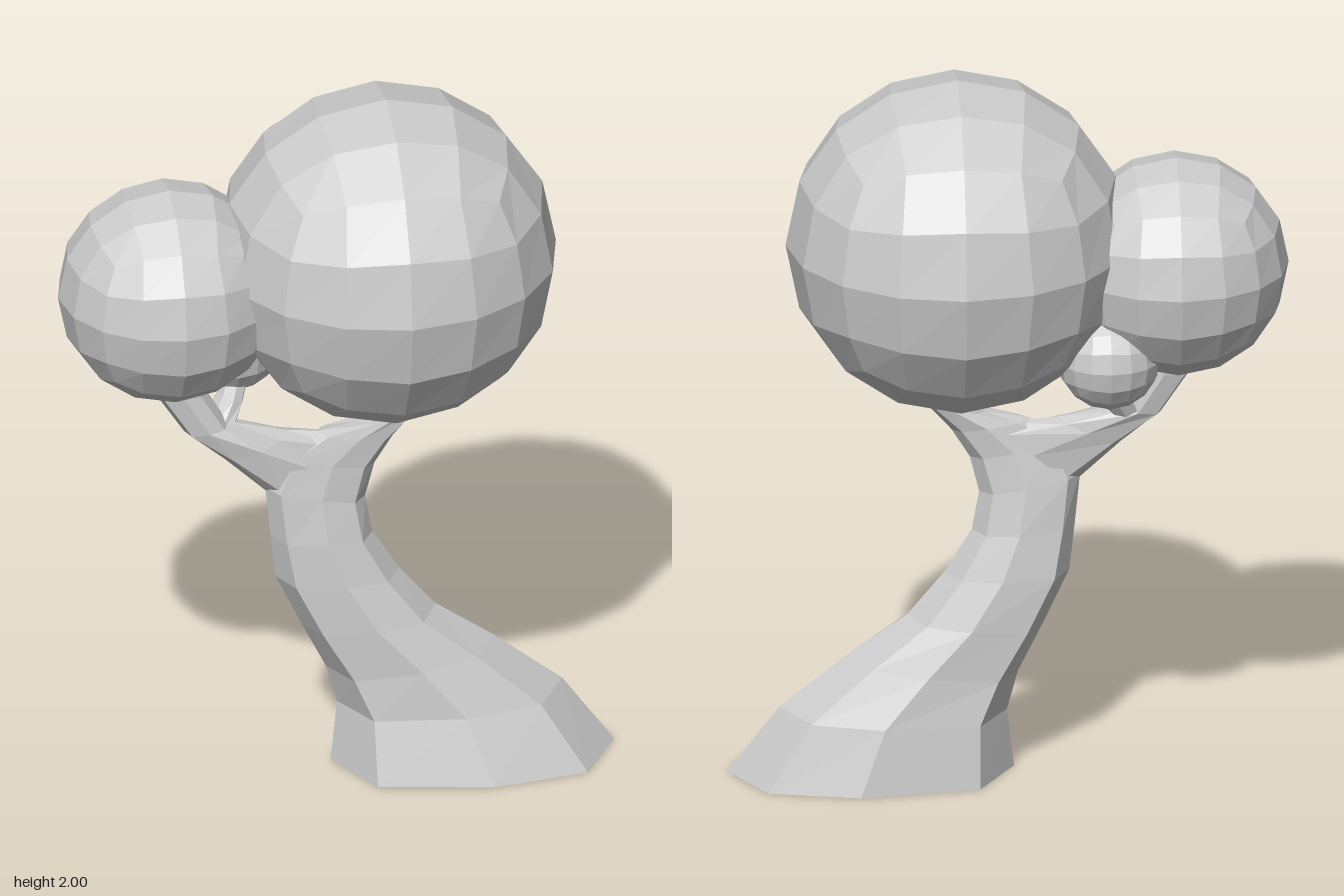
import * as THREE from 'three';

const material = new THREE.MeshStandardMaterial({ color: 0xcccccc, flatShading: true });

function makeMesh(name, positions, index) {
  const geometry = new THREE.BufferGeometry();
  geometry.setAttribute('position', new THREE.Float32BufferAttribute(positions, 3));
  geometry.setIndex(index);
  geometry.computeVertexNormals();
  const mesh = new THREE.Mesh(geometry, material);
  mesh.name = name;
  return mesh;
}

// Eight-sided limb lofted through sections [left x, left y, right x, right y, front z, back z]
function limb(name, sections) {
  const corners = [[0, 0], [0.13, -0.78], [0.55, -1], [0.87, -0.78], [1, 0], [0.87, 0.8], [0.53, 1], [0.13, 0.78]];
  const n = corners.length, positions = [], index = [];
  for (const [lx, ly, rx, ry, front, back] of sections) {
    for (const [t, s] of corners) {
      const mid = (front + back) / 2, half = (front - back) / 2;
      positions.push(lx + (rx - lx) * t, ly + (ry - ly) * t, mid + s * half);
    }
  }
  for (let i = 0; i < sections.length - 1; i++) {
    for (let j = 0; j < n; j++) {
      const a = i * n + j, b = i * n + (j + 1) % n;
      index.push(b, a, a + n, b, a + n, b + n);
    }
  }
  // End caps
  const top = (sections.length - 1) * n;
  for (let j = 1; j < n - 1; j++) {
    index.push(0, j, j + 1, top, top + j + 1, top + j);
  }
  return makeMesh(name, positions, index);
}

// Ball made from a rounded cube with four by four faces per side
function foliage(name, radius, x, y, z) {
  const geometry = new THREE.BoxGeometry(2, 2, 2, 4, 4, 4);
  const p = geometry.attributes.position, v = new THREE.Vector3();
  for (let i = 0; i < p.count; i++) {
    v.fromBufferAttribute(p, i);
    const a = v.toArray();
    // Half-way grid lines sit a little further out along the cube's edges
    const onEdge = a.filter((c) => Math.abs(c) === 1).length > 1;
    v.fromArray(a.map((c) => (Math.abs(c) === 0.5 ? Math.sign(c) * (onEdge ? 0.504 : 0.427) : c)));
    v.setLength(radius);
    p.setXYZ(i, v.x, v.y, v.z);
  }
  geometry.computeVertexNormals();
  const mesh = new THREE.Mesh(geometry, material);
  mesh.name = name;
  mesh.position.set(x, y, z);
  return mesh;
}

export function createModel() {
  const tree = new THREE.Group();
  tree.name = 'tree';

  // Leaning trunk with a flared foot, curving up into the large ball
  tree.add(limb('trunk', [
    [-0.02, 0, 0.76, 0, 0.25, -0.215],
    [0.0, 0.17, 0.62, 0.19, 0.185, -0.18],
    [-0.03, 0.28, 0.43, 0.34, 0.155, -0.145],
    [-0.1, 0.42, 0.27, 0.45, 0.135, -0.12],
    [-0.17, 0.57, 0.17, 0.57, 0.115, -0.095],
    [-0.185, 0.7, 0.095, 0.69, 0.1, -0.07],
    [-0.2, 0.85, 0.075, 0.8, 0.08, -0.05],
    [-0.16, 0.95, 0.1, 0.9, 0.07, -0.035],
    [-0.06, 1.01, 0.15, 0.98, 0.065, -0.03],
    [0.06, 1.03, 0.23, 1.07, 0.06, -0.03],
    [0.13, 1.1, 0.28, 1.13, 0.06, -0.03],
  ]));

  // Side branch to the smaller ball
  tree.add(limb('branch', [
    [-0.18, 0.82, 0.02, 1.0, 0.065, -0.04],
    [-0.31, 0.94, -0.14, 1.015, 0.06, -0.045],
    [-0.42, 1.03, -0.3, 1.05, 0.055, -0.055],
    [-0.5, 1.15, -0.36, 1.15, 0.05, -0.06],
    [-0.52, 1.24, -0.38, 1.24, 0.05, -0.06],
  ]));

  // Twig to the smallest ball
  tree.add(limb('twig', [
    [-0.38, 1.02, -0.28, 1.03, 0.03, -0.05],
    [-0.32, 1.12, -0.25, 1.09, -0.01, -0.09],
    [-0.28, 1.22, -0.22, 1.2, -0.06, -0.13],
  ]));

  tree.add(foliage('largeFoliage', 0.468, 0.135, 1.532, -0.003));
  tree.add(foliage('mediumFoliage', 0.306, -0.46, 1.46, -0.01));
  tree.add(foliage('smallFoliage', 0.142, -0.27, 1.235, -0.13));
  return tree;
}
